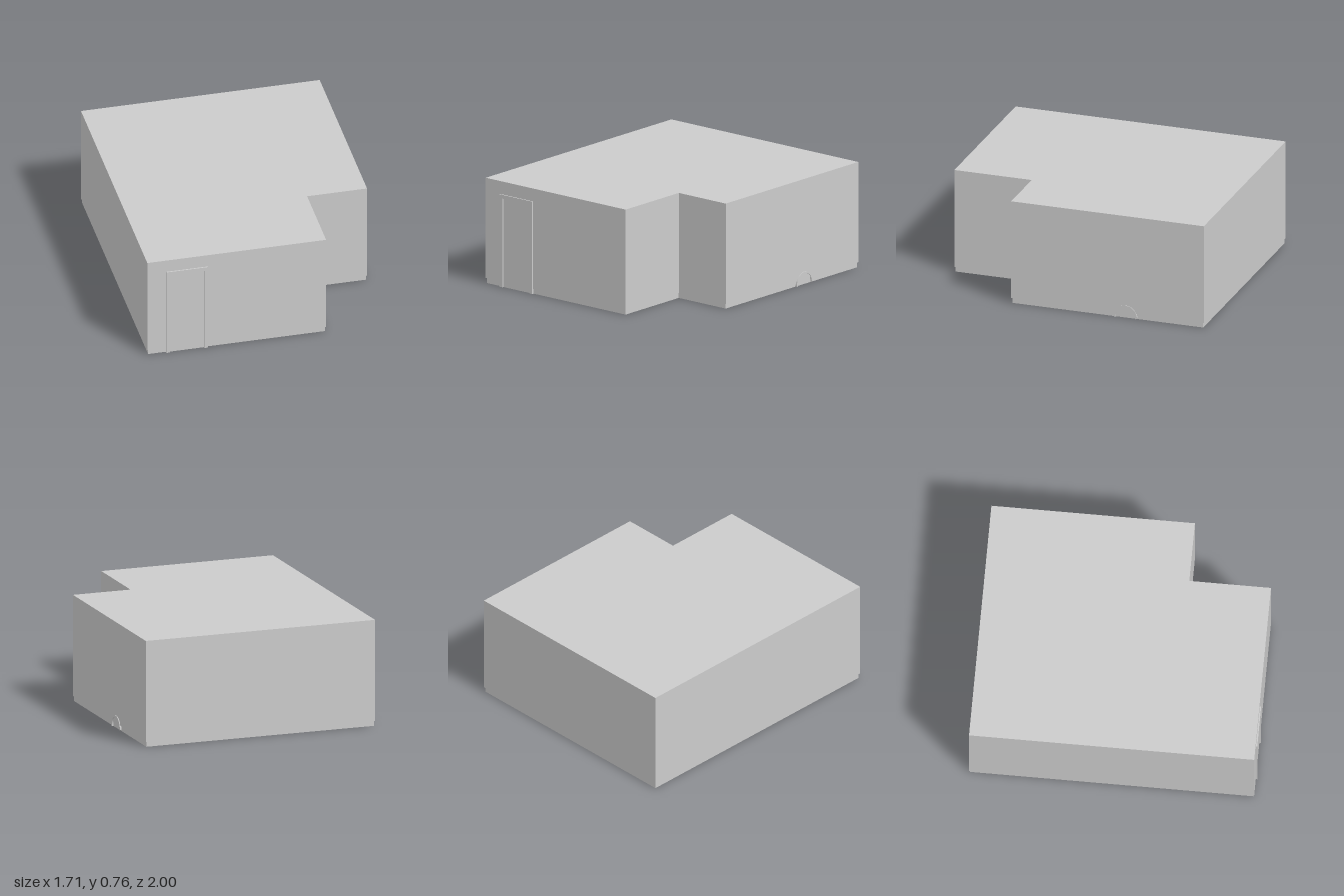
import * as THREE from 'three';

const material = new THREE.MeshStandardMaterial({ color: 0xcccccc, side: THREE.DoubleSide });
const HEIGHT = 0.76;
const SKIRTING = 0.037;
const INSET = 0.007;
const FRONT = 0.99;
const RIGHT = 0.85;

// L-shaped room plan as [x, z], moved inwards by d
function plan(d) {
  return [
    [-0.855 + d, FRONT - d], [0.422 - d, FRONT - d], [0.422 - d, 0.42 - d],
    [RIGHT - d, 0.42 - d], [RIGHT - d, -1 + d], [-0.855 + d, -1 + d],
  ];
}

// Flat-faced band round the room, from profile rows of [inset, y], bottom to top
function band(rows) {
  const positions = [];
  for (let r = 0; r < rows.length - 1; r++) {
    const low = plan(rows[r][0]).map(([x, z]) => [x, rows[r][1], z]);
    const high = plan(rows[r + 1][0]).map(([x, z]) => [x, rows[r + 1][1], z]);
    for (let i = 0; i < low.length; i++) {
      const j = (i + 1) % low.length;
      positions.push(...low[i], ...low[j], ...high[j], ...low[i], ...high[j], ...high[i]);
    }
  }
  const geometry = new THREE.BufferGeometry();
  geometry.setAttribute('position', new THREE.Float32BufferAttribute(positions, 3));
  geometry.computeVertexNormals();
  return geometry;
}

function add(parent, name, geometry, x = 0, y = 0, z = 0) {
  const mesh = new THREE.Mesh(geometry, material);
  mesh.name = name;
  mesh.position.set(x, y, z);
  parent.add(mesh);
  return mesh;
}

function extrude(shape, depth) {
  return new THREE.ExtrudeGeometry(shape, { depth, bevelEnabled: false, curveSegments: 16 });
}

// Rectangle outline, with an optional raised arch between two shoulders
function panelShape(w, y0, y1, arch = 0) {
  const s = new THREE.Shape();
  s.moveTo(-w, y0);
  s.lineTo(w, y0);
  s.lineTo(w, y1);
  if (arch) {
    s.lineTo(arch + 0.012, y1);
    s.quadraticCurveTo(arch, y1, arch, y1 + 0.012);
    s.absarc(0, y1 + 0.012, arch, 0, Math.PI, false);
    s.quadraticCurveTo(-arch, y1, -arch - 0.012, y1);
  }
  s.lineTo(-w, y1);
  s.closePath();
  return s;
}

function createDoor() {
  const door = new THREE.Group();
  door.name = 'door';
  door.position.set(-0.572, 0, FRONT);

  // Frame shows on both sides of the wall
  const frame = new THREE.Shape();
  [[-0.148, 0], [-0.122, 0], [-0.122, 0.64], [0.122, 0.64], [0.122, 0], [0.148, 0], [0.148, 0.667], [-0.148, 0.667]]
    .forEach(([x, y], i) => (i ? frame.lineTo(x, y) : frame.moveTo(x, y)));
  add(door, 'doorFrame', extrude(frame, 0.038), 0, 0, -0.029);

  // Door leaf on the room side, with a moulding round each panel
  add(door, 'doorLeaf', new THREE.BoxGeometry(0.244, 0.64, 0.012), 0, 0.32, -0.008);
  const panels = [
    ['upper', 0.26, 0.55, 0.046],
    ['lower', 0.06, 0.205, 0],
  ];
  for (const [name, y0, y1, arch] of panels) {
    const rim = panelShape(0.084, y0, y1, arch);
    rim.holes.push(panelShape(0.074, y0 + 0.01, y1 - 0.01, arch && arch - 0.008));
    add(door, name + 'PanelMoulding', extrude(rim, 0.008), 0, 0, -0.022);
    add(door, name + 'PanelField', extrude(panelShape(0.062, y0 + 0.022, y1 - 0.022, arch && arch - 0.018), 0.004), 0, 0, -0.018);
  }

  // Handle
  add(door, 'handlePlate', new THREE.BoxGeometry(0.018, 0.09, 0.005), 0.106, 0.265, -0.016);
  const stem = add(door, 'handleStem', new THREE.CylinderGeometry(0.004, 0.004, 0.02, 12), 0.106, 0.285, -0.026);
  stem.rotation.x = Math.PI / 2;
  add(door, 'handleLever', new THREE.BoxGeometry(0.04, 0.008, 0.006), 0.092, 0.285, -0.035);
  return door;
}

export function createModel() {
  const room = new THREE.Group();
  room.name = 'room';

  // Open-bottomed shell
  add(room, 'walls', band([[0, SKIRTING], [0, HEIGHT]]));
  add(room, 'skirting', band([[INSET, 0], [INSET, SKIRTING], [0, SKIRTING]]));
  const ceiling = new THREE.Shape(plan(0).map(([x, z]) => new THREE.Vector2(x, -z)));
  add(room, 'ceiling', new THREE.ShapeGeometry(ceiling).rotateX(-Math.PI / 2), 0, HEIGHT, 0);

  room.add(createDoor());

  // Small arched trim at the foot of the right wall
  const arch = new THREE.Shape();
  arch.moveTo(0.085, 0);
  arch.absarc(0, 0.008, 0.085, 0, Math.PI, false);
  arch.lineTo(-0.085, 0);
  arch.lineTo(-0.073, 0);
  arch.absarc(0, 0.008, 0.073, Math.PI, 0, true);
  arch.lineTo(0.073, 0);
  arch.closePath();
  add(room, 'smallArchTrim', extrude(arch, 0.02).rotateY(Math.PI / 2), RIGHT - 0.015, 0, -0.423);

  return room;
}
